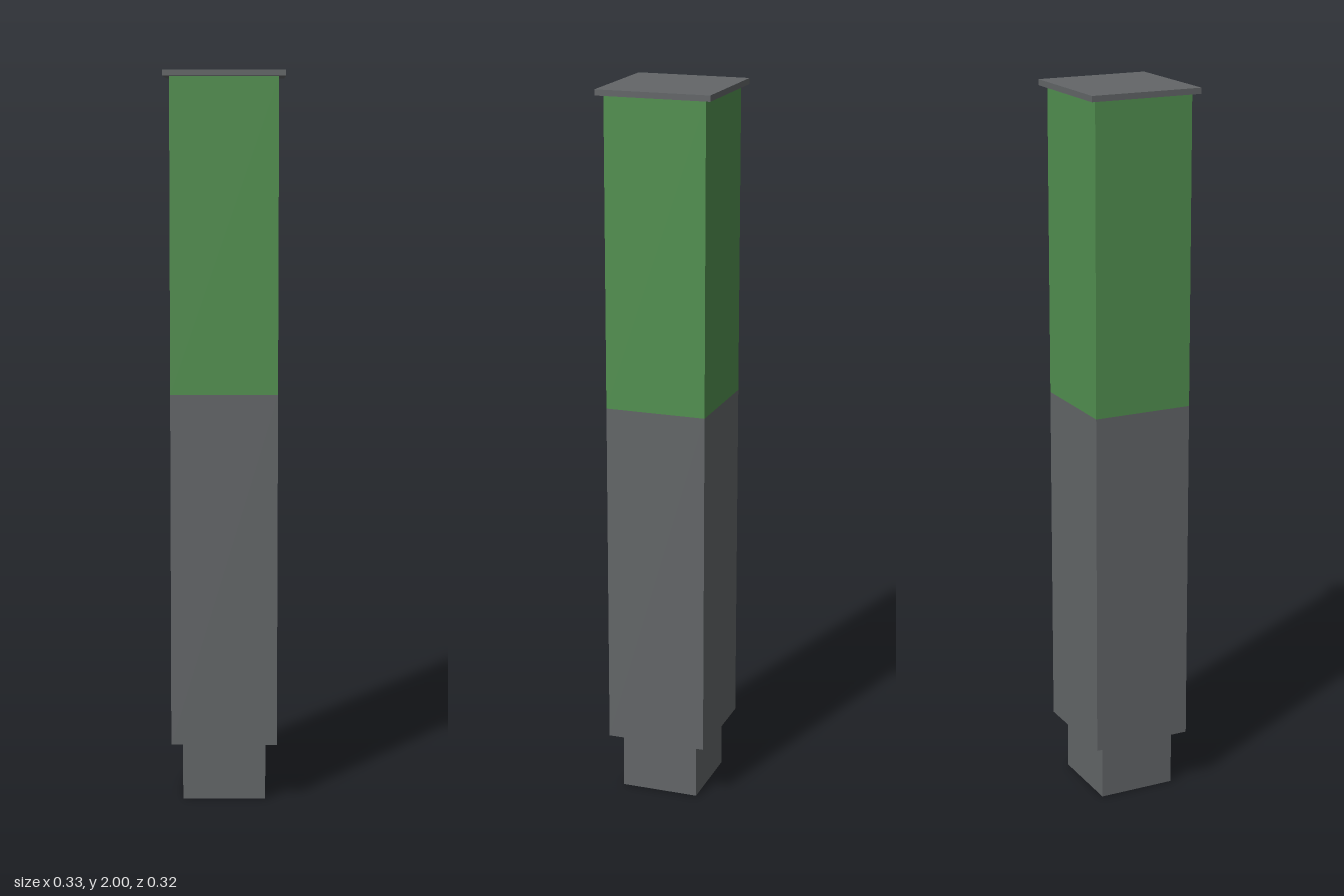
import * as THREE from 'three';

export function createModel() {
  const group = new THREE.Group();
  const grey = new THREE.MeshStandardMaterial({ color: 0x636668 });
  grey.name = 'grey';
  const green = new THREE.MeshStandardMaterial({ color: 0x529050 });
  green.name = 'green';

  // Square block spanning y0 to y1, centred on the vertical axis
  function block(name, width, depth, y0, y1, material) {
    const mesh = new THREE.Mesh(new THREE.BoxGeometry(width, y1 - y0, depth), material);
    mesh.name = name;
    mesh.position.y = (y0 + y1) / 2;
    group.add(mesh);
  }

  block('foot', 0.228, 0.219, 0, 0.163, grey);
  block('lowerPost', 0.291, 0.281, 0.163, 1.135, grey);
  block('upperPost', 0.291, 0.281, 1.135, 1.984, green);
  block('cap', 0.327, 0.316, 1.984, 2, grey);

  return group;
}
